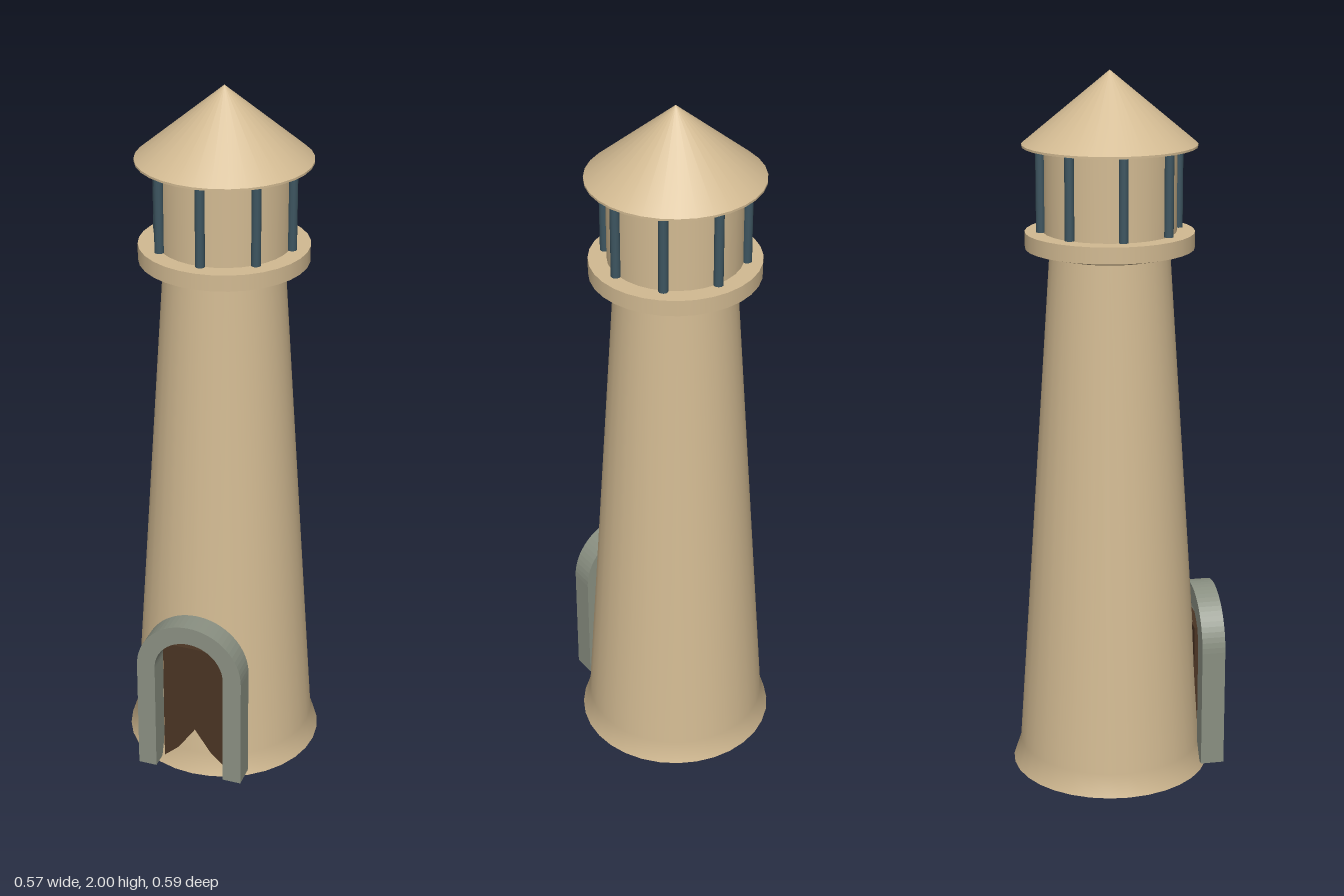
import * as THREE from 'three';

const SEG = 32;
const AXIS_Z = -0.012; // the tower axis sits slightly behind centre, as the porch projects

function paint(name, color, side = THREE.FrontSide) {
  const m = new THREE.MeshStandardMaterial({ color, side });
  m.name = name;
  return m;
}

function add(parent, name, geometry, material, x = 0, y = 0, z = 0) {
  const mesh = new THREE.Mesh(geometry, material);
  mesh.name = name;
  mesh.position.set(x, y, z);
  parent.add(mesh);
  return mesh;
}

// Open ring of wall between two radii, or a flat ring when y0 equals y1
function band(r0, y0, r1, y1) {
  return new THREE.LatheGeometry([new THREE.Vector2(r0, y0), new THREE.Vector2(r1, y1)], SEG);
}

export function createModel() {
  const model = new THREE.Group();
  model.name = 'lighthouse';
  const sandstone = paint('sandstone', 0xd2ba92, THREE.DoubleSide);
  const greyStone = paint('grey stone', 0x8a9082);
  const darkWood = paint('dark wood', 0x4a3423);
  const blueSteel = paint('blue steel', 0x3d5560);

  const tower = new THREE.Group();
  tower.name = 'tower';
  tower.position.z = AXIS_Z;
  model.add(tower);

  // Hollow tapering shaft with a flared foot
  const shaft = [[0.283, 0], [0.262, 0.065], [0.165, 1.51]];
  add(tower, 'shaft', new THREE.LatheGeometry(shaft.map(([r, y]) => new THREE.Vector2(r, y)), SEG), sandstone);

  // Gallery: sloped underside, rim and deck
  add(tower, 'galleryUnderside', band(0.165, 1.505, 0.232, 1.522), sandstone);
  add(tower, 'galleryRim', band(0.232, 1.522, 0.232, 1.567), sandstone);
  add(tower, 'galleryDeck', band(0.232, 1.567, 0, 1.567), sandstone);

  // Lantern room with eight posts
  add(tower, 'lanternRoom', band(0.182, 1.567, 0.182, 1.795), sandstone);
  const post = new THREE.CylinderGeometry(0.013, 0.013, 0.22, 12);
  for (let i = 0; i < 8; i++) {
    const a = (i * Math.PI) / 4;
    add(tower, 'lanternPost', post, blueSteel, 0.19 * Math.sin(a), 1.68, 0.19 * Math.cos(a));
  }

  // Conical roof with a thin eave
  add(tower, 'roofSoffit', band(0, 1.793, 0.238, 1.798), sandstone);
  add(tower, 'roofEave', band(0.238, 1.798, 0.238, 1.804), sandstone);
  add(tower, 'roof', band(0.238, 1.804, 0, 2), sandstone);

  // Door, partly sunk into the curved wall
  add(model, 'door', new THREE.BoxGeometry(0.19, 0.4, 0.028), darkWood, 0, 0.22, 0.231);

  // Stone arch around the door
  const outer = 0.157, inner = 0.103, foot = 0.02, spring = 0.364;
  const arch = new THREE.Shape();
  arch.moveTo(outer, foot);
  arch.lineTo(outer, spring);
  arch.absarc(0, spring, outer, 0, Math.PI, false);
  arch.lineTo(-outer, foot);
  arch.lineTo(-inner, foot);
  arch.lineTo(-inner, spring);
  arch.absarc(0, spring, inner, Math.PI, 0, true);
  arch.lineTo(inner, foot);
  arch.closePath();
  add(model, 'doorArch',
    new THREE.ExtrudeGeometry(arch, { depth: 0.067, bevelEnabled: false, curveSegments: 16 }),
    greyStone, 0, 0, 0.226);

  return model;
}
